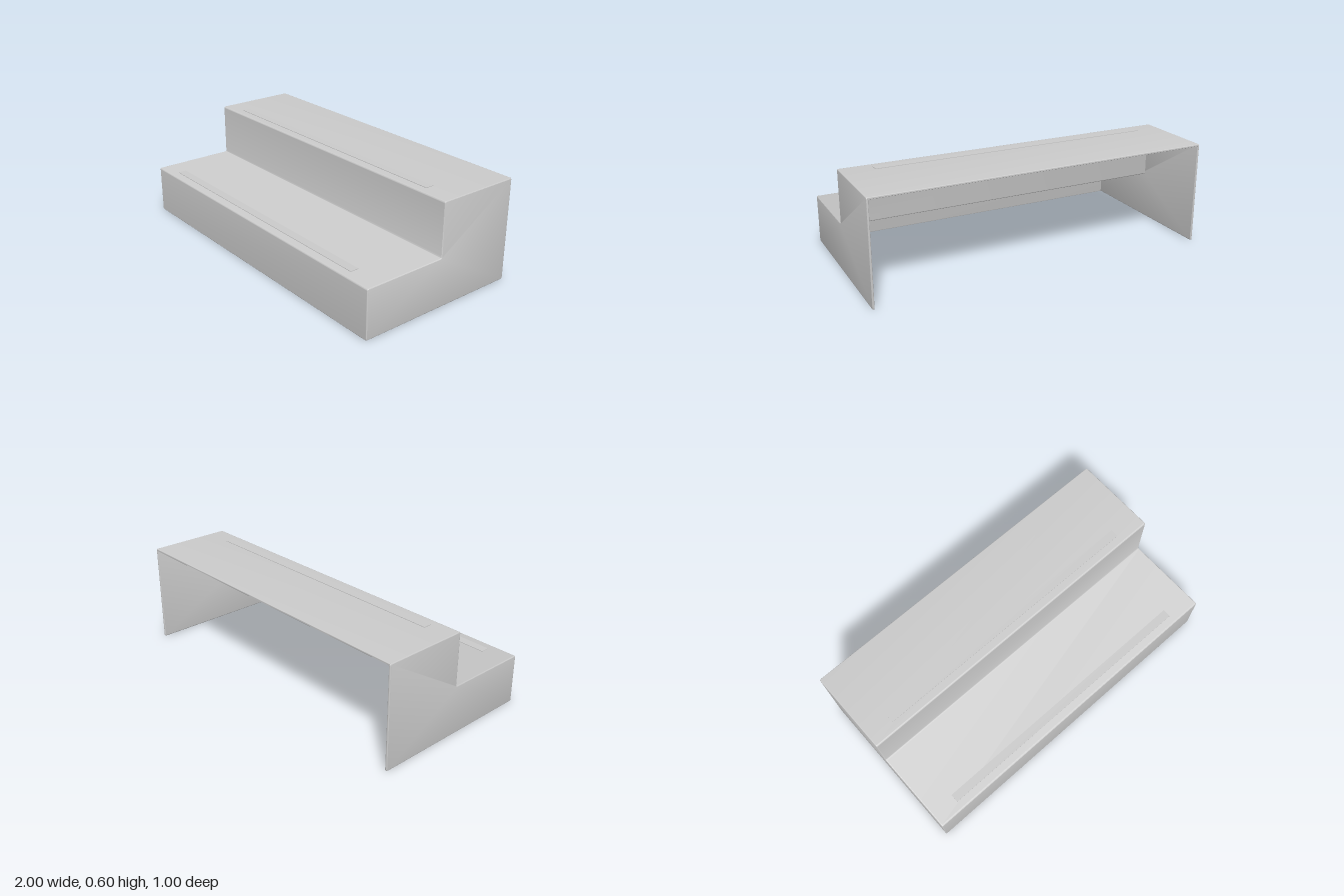
import * as THREE from 'three';
import { toCreasedNormals } from 'three/addons/utils/BufferGeometryUtils.js';

const material = new THREE.MeshStandardMaterial({ color: 0xcccccc });
const T = 0.012; // wall thickness
const TOP = 0.6, TREAD = 0.287;

// closed outline from [z, y, cornerRadius] points
function roundedShape(points) {
  const shape = new THREE.Shape();
  const n = points.length;
  const toward = (a, b, r) => {
    const d = Math.hypot(b[0] - a[0], b[1] - a[1]);
    return [a[0] + (b[0] - a[0]) * r / d, a[1] + (b[1] - a[1]) * r / d];
  };
  points.forEach((p, i) => {
    const start = toward(p, points[(i + n - 1) % n], p[2]);
    const end = toward(p, points[(i + 1) % n], p[2]);
    if (i === 0) shape.moveTo(...start); else shape.lineTo(...start);
    if (p[2] > 0) shape.quadraticCurveTo(p[0], p[1], ...end);
  });
  shape.closePath();
  return shape;
}

// extrude a (z, y) outline along x, centred on x = 0
function extrudeAlongX(shape, width, bevel = 0) {
  let geometry = new THREE.ExtrudeGeometry(shape, {
    depth: width - 2 * bevel, curveSegments: 5, bevelEnabled: bevel > 0,
    bevelThickness: bevel, bevelSize: bevel, bevelOffset: -bevel, bevelSegments: 3,
  });
  geometry.rotateY(-Math.PI / 2);
  geometry.translate(width / 2 - bevel, 0, 0);
  return toCreasedNormals(geometry, 0.7);
}

function addMesh(group, name, geometry, x = 0, y = 0, z = 0) {
  const mesh = new THREE.Mesh(geometry, material);
  mesh.name = name;
  mesh.position.set(x, y, z);
  group.add(mesh);
}

export function createModel() {
  const group = new THREE.Group();
  group.name = 'twoStepRiser';

  // folded sheet: lower riser, lower tread, upper riser, upper tread
  const sheet = roundedShape([
    [0.5, 0, 0.004], [0.5, TREAD, 0.01], [0, TREAD, 0.01], [0, TOP, 0.01],
    [-0.5, TOP, 0.004], [-0.5, TOP - T, 0.004], [-T, TOP - T, 0.004],
    [-T, TREAD - T, 0.012], [0.5 - T, TREAD - T, 0.004], [0.5 - T, 0, 0.004],
  ]);
  addMesh(group, 'stepSheet', extrudeAlongX(sheet, 1.988));

  // stepped side panels
  const side = roundedShape([
    [0.5, 0, 0.01], [0.5, TREAD, 0.01], [0, TREAD, 0.01], [0, TOP, 0.01],
    [-0.5, TOP, 0.01], [-0.5, 0, 0.01],
  ]);
  const panel = extrudeAlongX(side, T, 0.005);
  for (const s of [1, -1]) {
    addMesh(group, s > 0 ? 'leftSidePanel' : 'rightSidePanel', panel, s * (1 - T / 2));
  }

  // thin grip strips near the front of each tread
  const strip = new THREE.BoxGeometry(1.67, 0.006, 0.05);
  addMesh(group, 'lowerGripStrip', strip, -0.015, TREAD, 0.425);
  addMesh(group, 'upperGripStrip', strip, -0.015, TOP, -0.075);

  return group;
}
